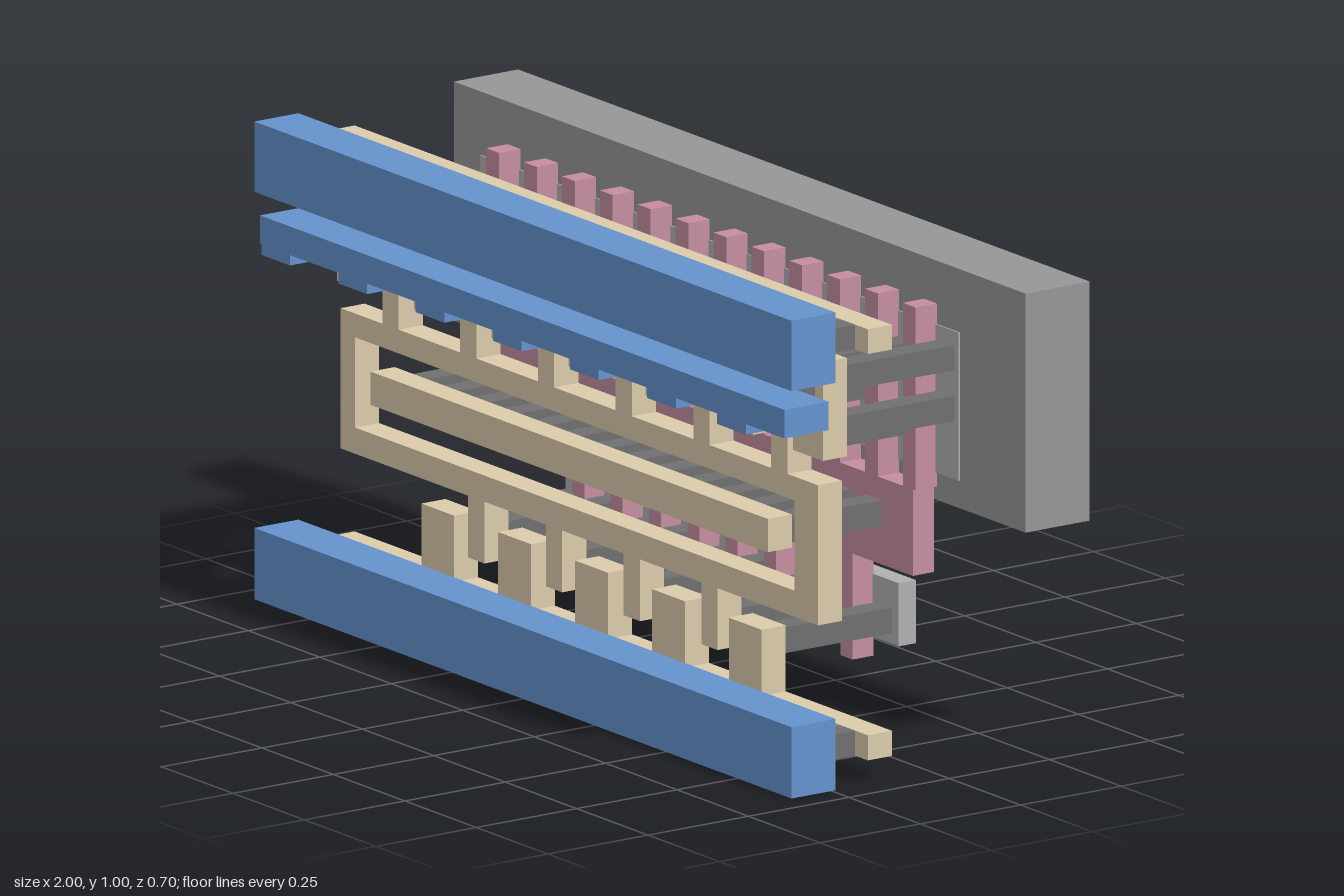
import * as THREE from 'three';

const mat = (color) => new THREE.MeshStandardMaterial({ color, roughness: 0.8, flatShading: true });

export function createModel() {
  const model = new THREE.Group();
  const blue = mat(0x6493cd), tan = mat(0xdccbac), pink = mat(0xc58ea0);
  const dark = mat(0x707070), mid = mat(0x969696), light = mat(0xb0b0b0);

  // Box given by its limits along each axis
  const box = (name, material, [x0, x1], [y0, y1], [z0, z1]) => {
    const mesh = new THREE.Mesh(new THREE.BoxGeometry(x1 - x0, y1 - y0, z1 - z0), material);
    mesh.position.set((x0 + x1) / 2, (y0 + y1) / 2, (z0 + z1) / 2);
    mesh.name = name;
    model.add(mesh);
  };
  // Row of equal boxes at the given x centres
  const row = (name, material, centres, width, y, z) =>
    centres.forEach((x) => box(name, material, [x - width / 2, x + width / 2], y, z));
  const series = (start, step, count) => Array.from({ length: count }, (_, i) => start + step * i);

  // Depth range of each layer
  const Z = {
    rail: [0.24, 0.35], via: [0.16, 0.24], metal: [0.10, 0.16],
    gate: [-0.19, -0.137], toActive: [-0.188, 0.10], toGate: [-0.137, 0.10],
  };

  // x centres of repeated parts
  const upperBlocks = [...series(-0.865, 0.27, 6), 0.73];
  const upperStems = series(-0.73, 0.272, 6);
  const lowerBlocks = series(-0.565, 0.269, 5);
  const lowerStems = series(-0.43, 0.272, 4);
  const railVias = series(-0.87, 0.145, 13);

  // Back slab and the thin active strips
  box('backSlab', mid, [-1, 1], [0.487, 0.99], [-0.35, -0.19]);
  box('upperActiveStrip', light, [-0.905, 0.77], [0.545, 0.857], [-0.23, -0.187]);
  box('lowerActiveStrip', light, [-0.605, 0.56], [0.15, 0.283], [-0.23, -0.187]);

  // Gate plate with its fingers above and below
  box('gatePlate', pink, [-0.82, 0.68], [0.333, 0.515], Z.gate);
  row('upperGateFinger', pink, series(-0.79, 0.1325, 12), 0.045, [0.515, 0.90], Z.gate);
  row('lowerGateFinger', pink, series(-0.49, 0.134, 8), 0.042, [0.11, 0.333], Z.gate);

  // Front rails, the middle one with tabs
  box('topRail', blue, [-0.94, 0.94], [0.857, 1.005], Z.rail);
  box('bottomRail', blue, [-0.94, 0.94], [0, 0.15], Z.rail);
  box('middleRail', blue, [-0.92, 0.915], [0.752, 0.812], Z.rail);
  row('middleRailTab', blue, upperBlocks, 0.1, [0.73, 0.752], Z.rail);

  // Straight bars behind the rails
  box('topBar', tan, [-0.94, 0.94], [0.905, 0.957], Z.metal);
  box('bottomBar', tan, [-0.94, 0.94], [0.05, 0.103], Z.metal);
  box('innerBar', tan, [-0.80, 0.59], [0.41, 0.48], Z.metal);

  // Frame round the inner bar
  const frame = new THREE.Shape([
    [-0.905, 0.295], [0.765, 0.295], [0.765, 0.59], [-0.905, 0.59],
  ].map((p) => new THREE.Vector2(...p)));
  frame.holes.push(new THREE.Path([
    [-0.855, 0.35], [-0.855, 0.54], [0.683, 0.54], [0.683, 0.35],
  ].map((p) => new THREE.Vector2(...p))));
  const ring = new THREE.Mesh(new THREE.ExtrudeGeometry(frame, { depth: 0.06, bevelEnabled: false }), tan);
  ring.position.z = Z.metal[0];
  ring.name = 'frame';
  model.add(ring);

  // Stems reaching from the frame, and blocks between them
  row('upperStem', tan, upperStems, 0.057, [0.59, 0.848], Z.metal);
  row('lowerStem', tan, lowerStems, 0.057, [0.165, 0.295], Z.metal);
  row('upperBlock', tan, upperBlocks, 0.105, [0.645, 0.852], Z.metal);
  row('lowerBlock', tan, lowerBlocks, 0.115, [0.103, 0.242], Z.metal);

  // Short posts between rails and bars
  row('topRailPost', dark, railVias, 0.052, [0.905, 0.957], Z.via);
  row('bottomRailPost', dark, railVias, 0.052, [0.05, 0.103], Z.via);
  row('middleRailPost', dark, upperBlocks, 0.052, [0.745, 0.798], Z.via);

  // Long posts running back to the strips and the gate plate
  row('upperBlockPost', dark, upperBlocks, 0.052, [0.775, 0.828], Z.toActive);
  row('upperBlockPost', dark, upperBlocks, 0.052, [0.668, 0.721], Z.toActive);
  row('upperStemPost', dark, upperStems, 0.052, [0.765, 0.818], Z.toActive);
  row('upperStemPost', dark, upperStems, 0.052, [0.625, 0.678], Z.toActive);
  row('lowerBlockPost', dark, lowerBlocks, 0.052, [0.173, 0.227], Z.toActive);
  row('lowerStemPost', dark, lowerStems, 0.052, [0.19, 0.243], Z.toActive);
  row('gatePost', dark, series(-0.745, 0.1075, 13), 0.052, [0.415, 0.468], Z.toGate);

  return model;
}
